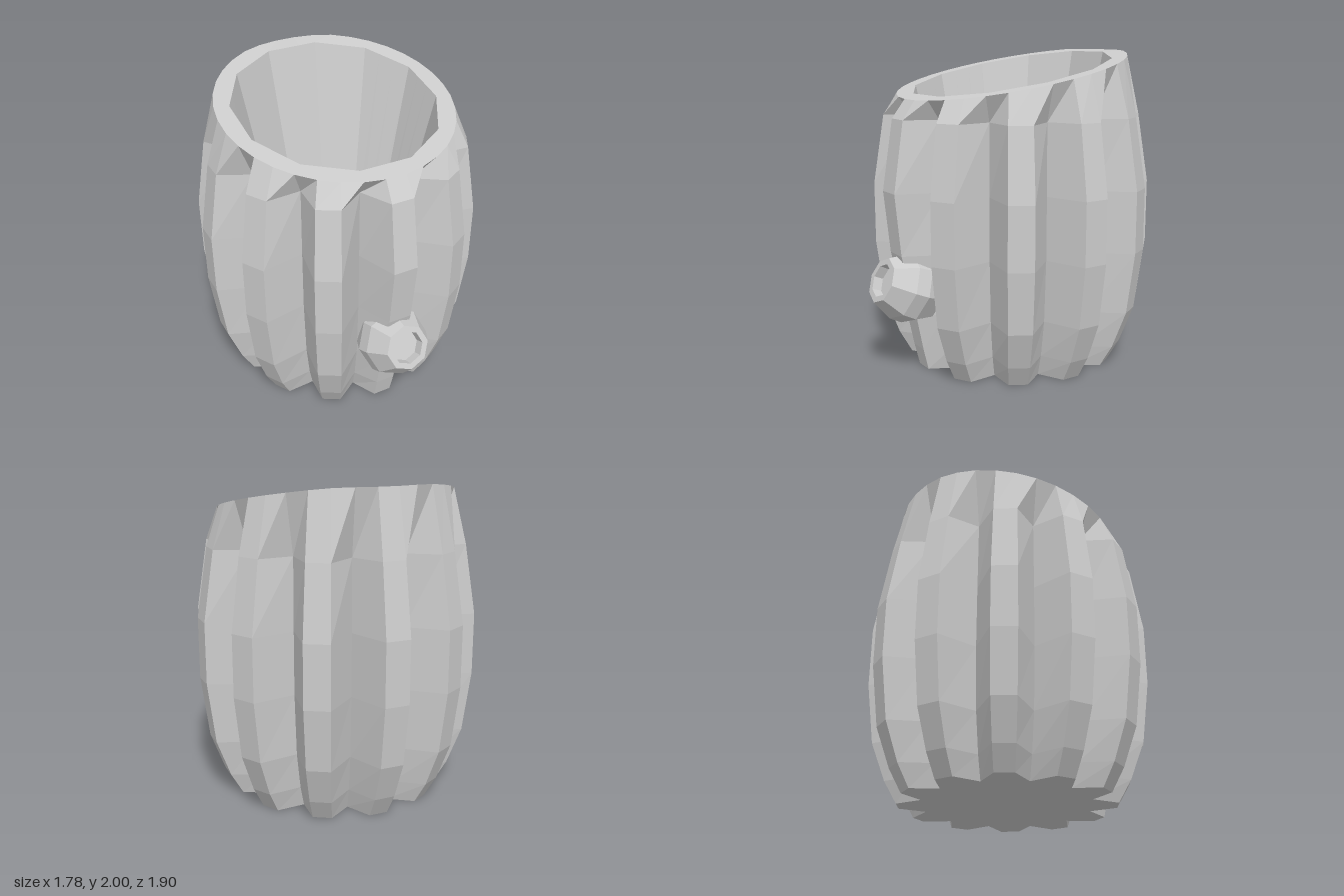
import * as THREE from 'three';

const DEG = Math.PI / 180;

// Skin between successive rings; each ring is a function (j) => [x, y, z]
function skin(rings, sides) {
  const pos = [];
  const tri = (a, b, c) => {
    const same = (p, q) => Math.hypot(p[0] - q[0], p[1] - q[1], p[2] - q[2]) < 1e-6;
    if (!same(a, b) && !same(b, c) && !same(a, c)) pos.push(...a, ...b, ...c);
  };
  for (let i = 0; i < rings.length - 1; i++) {
    for (let j = 0; j < sides; j++) {
      const k = (j + 1) % sides;
      const a = rings[i](j), b = rings[i](k), c = rings[i + 1](k), d = rings[i + 1](j);
      tri(a, b, c);
      tri(a, c, d);
    }
  }
  const g = new THREE.BufferGeometry();
  g.setAttribute('position', new THREE.Float32BufferAttribute(pos, 3));
  g.computeVertexNormals();
  return g;
}

export function createModel() {
  const group = new THREE.Group();
  const grey = new THREE.MeshStandardMaterial({ name: 'grey', color: 0xcccccc, flatShading: true });
  const centreZ = -0.06;

  // Body: 36 points round, every third one is the bottom of a groove
  const point = (j, r, y) => {
    const a = (j * 10 - 5) * DEG;
    return [r * Math.sin(a), y, r * Math.cos(a) + centreZ];
  };
  const isGroove = (j) => j % 3 === 2;
  // The front rib (points 0 and 1) sinks in around the spout
  const ribbed = (rib, groove, y, front = rib) => (j) =>
    point(j, isGroove(j) ? groove : j < 2 ? front : rib, y);
  // Twelve-sided ring, its corners in line with the grooves
  const twelve = (r, j) => (isGroove(j) ? r : (r * Math.cos(15 * DEG)) / Math.cos(5 * DEG));
  // Slanted rim plane, level at the very back
  const slant = ([x, , z]) => [x, Math.min(2, 1.85 - 0.2 * z), z];

  const bodyRings = [
    (j) => point(j, 0, 0),
    ribbed(0.675, 0.53, 0),
    ribbed(0.755, 0.58, 0.14, 0.71),
    ribbed(0.845, 0.63, 0.38, 0.76),
    ribbed(0.895, 0.655, 0.77, 0.855),
    ribbed(0.895, 0.655, 1.16),
    ribbed(0.825, 0.65, 1.6),
    (j) => slant(point(j, 0.74, 0)),
    (j) => slant(point(j, twelve(0.645, j), 0)),
    (j) => point(j, twelve(0.3, j), 0.27),
    (j) => point(j, 0, 0.22),
  ];
  const body = new THREE.Mesh(skin(bodyRings, 36), grey);
  body.name = 'ribbedBarrel';
  group.add(body);

  // Spout: eight-sided bulb with a shallow hole, tilted up at the front
  const spoutProfile = [
    [0, -0.36], [0.17, -0.36], [0.222, -0.23], [0.215, -0.14],
    [0.143, 0], [0.105, 0], [0.1, -0.06], [0, -0.06],
  ];
  const spoutRings = spoutProfile.map(([r, y]) => (j) => {
    const a = j * 45 * DEG;
    return [r * Math.sin(a), y, r * Math.cos(a)];
  });
  const spout = new THREE.Mesh(skin(spoutRings, 8), grey);
  spout.name = 'spout';
  spout.position.set(0, 0.62, 0.895);
  spout.rotation.x = 67 * DEG;
  group.add(spout);

  return group;
}
